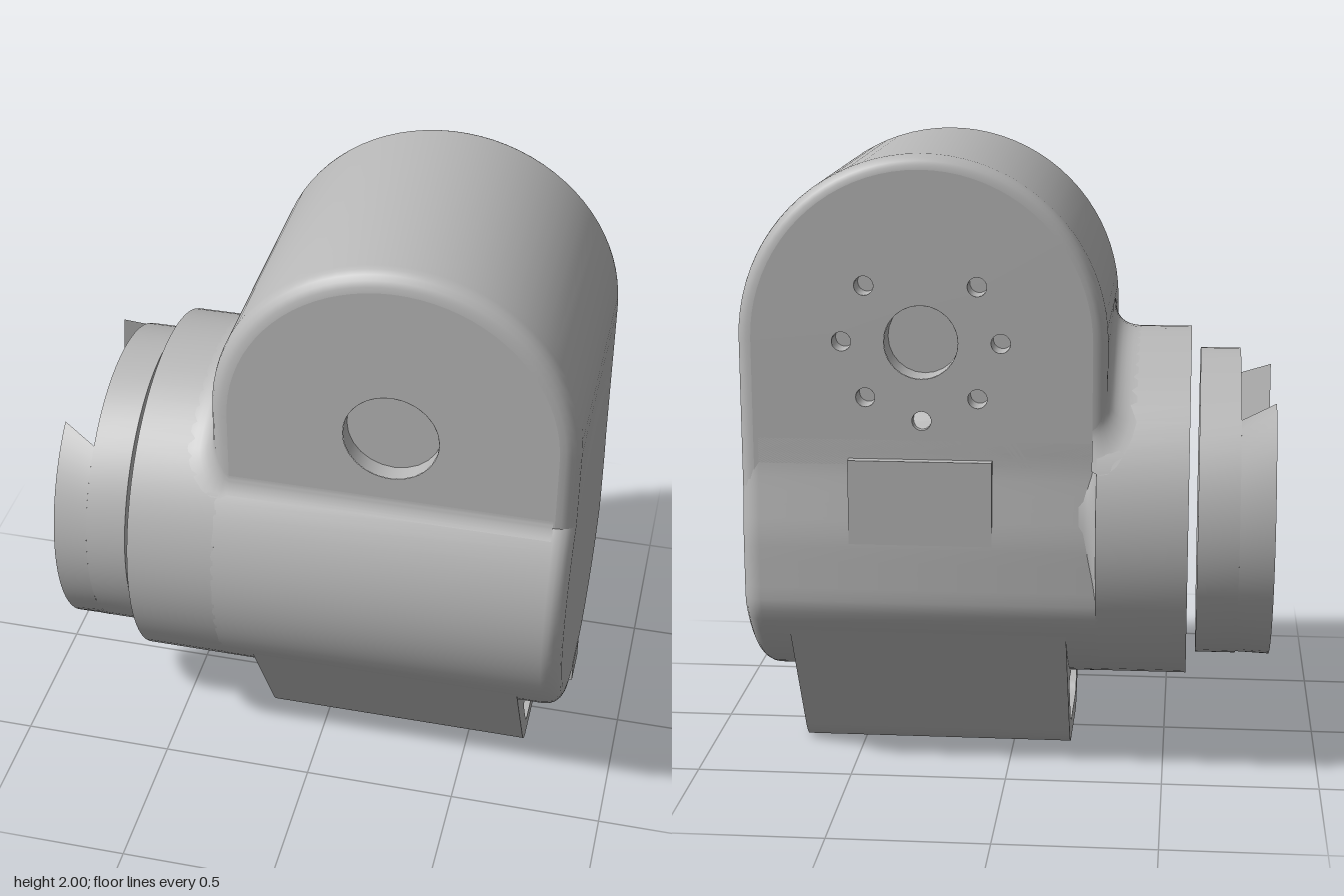
import * as THREE from 'three';
import { toCreasedNormals } from 'three/addons/utils/BufferGeometryUtils.js';

const R = 0.575;      // shared radius of barrel and housing
const AXIS_Y = 0.81;  // height of the barrel axis
const HX = 0.26, HY = 1.42; // centre of the housing arch
const grey = new THREE.MeshStandardMaterial({ color: 0xb8b8b8, side: THREE.DoubleSide });
grey.name = 'grey plastic';

function add(parent, name, geometry) {
  const mesh = new THREE.Mesh(geometry, grey);
  mesh.name = name;
  parent.add(mesh);
  return mesh;
}

// Skin between equal-length rings of points
function loft(rings, closed) {
  const n = rings[0].length, index = [];
  for (let r = 0; r < rings.length - 1; r++) {
    for (let i = 0; i < (closed ? n : n - 1); i++) {
      const a = r * n + i, b = r * n + (i + 1) % n;
      index.push(a, b, b + n, a, b + n, a + n);
    }
  }
  const g = new THREE.BufferGeometry().setFromPoints(rings.flat());
  g.setIndex(index);
  return toCreasedNormals(g, 0.6);
}

// Extrude a (-z, y) profile along x
function extrudeX(shape, x0, x1, bevel = 0) {
  const g = new THREE.ExtrudeGeometry(shape, {
    depth: x1 - x0 - 2 * bevel, bevelEnabled: bevel > 0, bevelThickness: bevel,
    bevelSize: bevel, bevelOffset: -bevel, bevelSegments: 5, curveSegments: 10,
  });
  g.rotateY(Math.PI / 2).translate(x0 + bevel, 0, 0);
  return toCreasedNormals(g, 0.5);
}

// Revolve (radius, x) pairs about the barrel axis
function turned(pairs) {
  const g = new THREE.LatheGeometry(pairs.map(([r, x]) => new THREE.Vector2(r, x)), 64);
  g.rotateZ(-Math.PI / 2).translate(0, AXIS_Y, 0);
  return toCreasedNormals(g, 0.5);
}

// Arch outline, shrunk by an inset
function arch(inset) {
  const r = R - inset, pts = [];
  for (let i = 0; i <= 40; i++) {
    const a = (i / 40) * Math.PI;
    pts.push(new THREE.Vector2(HX + r * Math.cos(a), HY + r * Math.sin(a)));
  }
  pts.push(new THREE.Vector2(HX - r, 0.75), new THREE.Vector2(HX + r, 0.75));
  return pts;
}

// Flat housing face with blind holes [x, y, radius, depth]
function housingFace(parent, name, z, inset, holes) {
  const shape = new THREE.Shape(arch(inset));
  const out = Math.sign(z);
  for (const [x, y, r, depth] of holes) {
    shape.holes.push(new THREE.Path().absarc(x, y, r, 0, Math.PI * 2, true));
    const wall = new THREE.CylinderGeometry(r, r, depth, 24, 1, true).rotateX(Math.PI / 2);
    add(parent, 'holeWall', wall.translate(x, y, z - out * depth / 2));
    const floor = new THREE.CircleGeometry(r, 24);
    if (out < 0) floor.rotateY(Math.PI);
    add(parent, 'holeFloor', floor.translate(x, y, z - out * depth));
  }
  add(parent, name, new THREE.ShapeGeometry(shape, 24).translate(0, 0, z));
}

function buildHousing() {
  const housing = new THREE.Group();
  housing.name = 'housing';
  const front = 0.45, back = -0.49, fr = 0.06, br = 0.045, rings = [];
  const ring = (inset, z) => arch(inset).map(p => new THREE.Vector3(p.x, p.y, z));
  for (let i = 0; i <= 5; i++) {
    const a = (i / 5) * Math.PI / 2;
    rings.push(ring(br * (1 - Math.sin(a)), back + br * (1 - Math.cos(a))));
  }
  for (let i = 0; i <= 5; i++) {
    const a = (i / 5) * Math.PI / 2;
    rings.push(ring(fr * (1 - Math.cos(a)), front - fr * (1 - Math.sin(a))));
  }
  add(housing, 'housingShell', loft(rings, true));
  housingFace(housing, 'frontFace', front, fr, [[HX, HY, 0.15, 0.06]]);
  // Bolt circle of eight positions with the top one left out
  const holes = [[HX, HY, 0.115, 0.1]];
  for (let i = 1; i < 8; i++) {
    const a = Math.PI / 2 + i * Math.PI / 4;
    holes.push([HX + 0.247 * Math.cos(a), HY + 0.247 * Math.sin(a), 0.03, 0.08]);
  }
  housingFace(housing, 'backFace', back, br, holes);
  return housing;
}

// Barrel with a flattened, slightly tapered back
function barrelShape() {
  const pts = [];
  for (let i = 0; i < 80; i++) {
    const a = (i / 80) * Math.PI * 2;
    const y = AXIS_Y + R * Math.sin(a);
    const taper = THREE.MathUtils.clamp((y - 0.8) / 0.22, 0, 1);
    pts.push(new THREE.Vector2(Math.min(R * Math.cos(a), 0.52 - 0.03 * taper), y));
  }
  return new THREE.Shape(pts);
}

// Concave blend where the housing rises from the barrel
function blend() {
  const path = []; // [x, z, normal x, normal z, size]
  const top = z => AXIS_Y + Math.sqrt(Math.max(0, R * R - z * z));
  for (let i = 0; i <= 6; i++) {
    const a = (i / 6) * Math.PI / 2, nx = -Math.sin(a), nz = -Math.cos(a);
    path.push([-0.27 + 0.045 * nx, -0.445 + 0.045 * nz, nx, nz, 0.04 + 0.05 * i / 6]);
  }
  for (let i = 1; i < 16; i++) path.push([-0.315, -0.445 + 0.835 * i / 16, -1, 0, 0.09]);
  for (let i = 0; i <= 6; i++) {
    const a = (i / 6) * Math.PI / 2, nx = -Math.cos(a), nz = Math.sin(a);
    path.push([-0.255 + 0.06 * nx, 0.39 + 0.06 * nz, nx, nz, 0.09 - 0.065 * i / 6]);
  }
  path.push([0.77, 0.45, 0, 1, 0.025]);
  return loft(path.map(([x, z, nx, nz, s]) => {
    const qx = x + nx * s, qz = z + nz * s;
    return new THREE.QuadraticBezierCurve3(
      new THREE.Vector3(x, top(z) + s, z),
      new THREE.Vector3(x, top(z), z),
      new THREE.Vector3(qx, top(qz), qz),
    ).getPoints(8);
  }), false);
}

// Strap loop under the barrel
function bracketShape() {
  const s = new THREE.Shape();
  s.moveTo(-0.47, 0.48);
  s.lineTo(-0.22, 0.06);
  s.quadraticCurveTo(-0.18, 0, -0.14, 0);
  s.lineTo(0.14, 0);
  s.quadraticCurveTo(0.18, 0, 0.22, 0.06);
  s.lineTo(0.47, 0.48);
  const h = new THREE.Path();
  h.moveTo(-0.21, 0.25);
  h.lineTo(0.21, 0.25);
  h.quadraticCurveTo(0.25, 0.25, 0.235, 0.21);
  h.lineTo(0.17, 0.1);
  h.quadraticCurveTo(0.15, 0.065, 0.11, 0.065);
  h.lineTo(-0.11, 0.065);
  h.quadraticCurveTo(-0.15, 0.065, -0.17, 0.1);
  h.lineTo(-0.235, 0.21);
  h.quadraticCurveTo(-0.25, 0.25, -0.21, 0.25);
  s.holes.push(h);
  return s;
}

// Half of the tapered dovetail: circle segment whose chord undercuts with depth
function dovetail(side) {
  const r = 0.505;
  const ring = (x, zTop, zBottom) => {
    const a0 = -Math.acos(zBottom / r), a1 = Math.acos(zTop / r), pts = [];
    for (let i = 0; i <= 28; i++) {
      const a = a0 + (a1 - a0) * i / 28;
      pts.push(new THREE.Vector3(x, AXIS_Y + r * Math.sin(a), side * r * Math.cos(a)));
    }
    return side > 0 ? pts : pts.reverse();
  };
  const tip = ring(-0.84, 0.31, 0.17);
  const centre = tip.map(() => new THREE.Vector3(-0.84, AXIS_Y, side * 0.38));
  return loft([centre, tip, ring(-0.73, 0.36, 0.23)], true);
}

export function createModel() {
  const model = new THREE.Group();
  model.name = 'jointActuator';
  model.add(buildHousing());
  add(model, 'barrel', extrudeX(barrelShape(), -0.35, 0.835, 0.06));

  // Neck with a concave step down to the flattened back
  const neck = [[0, -0.57], [R, -0.57], [R, -0.285]];
  for (let i = 0; i <= 6; i++) {
    const a = (i / 6) * Math.PI / 2;
    neck.push([0.515 + 0.055 * (1 - Math.sin(a)), -0.23 - 0.055 * Math.cos(a)]);
  }
  add(model, 'neck', turned(neck));
  add(model, 'blendFillet', blend());

  // Raised tab on the back
  add(model, 'backTab', new THREE.BoxGeometry(0.45, 0.27, 0.06).translate(0.265, 0.915, -0.491));
  add(model, 'strapBracket', extrudeX(bracketShape(), -0.19, 0.695));
  add(model, 'endClip', new THREE.BoxGeometry(0.1, 0.075, 0.13).translate(0.787, 0.283, 0.035));

  // Output coupling, separated from the neck by a narrow gap
  const coupling = new THREE.Group();
  coupling.name = 'coupling';
  add(coupling, 'couplingDisc', turned([[0, -0.73], [0.505, -0.73], [0.505, -0.6], [0, -0.6]]));
  for (const side of [1, -1]) add(coupling, 'dovetailJaw', dovetail(side));
  model.add(coupling);
  return model;
}
